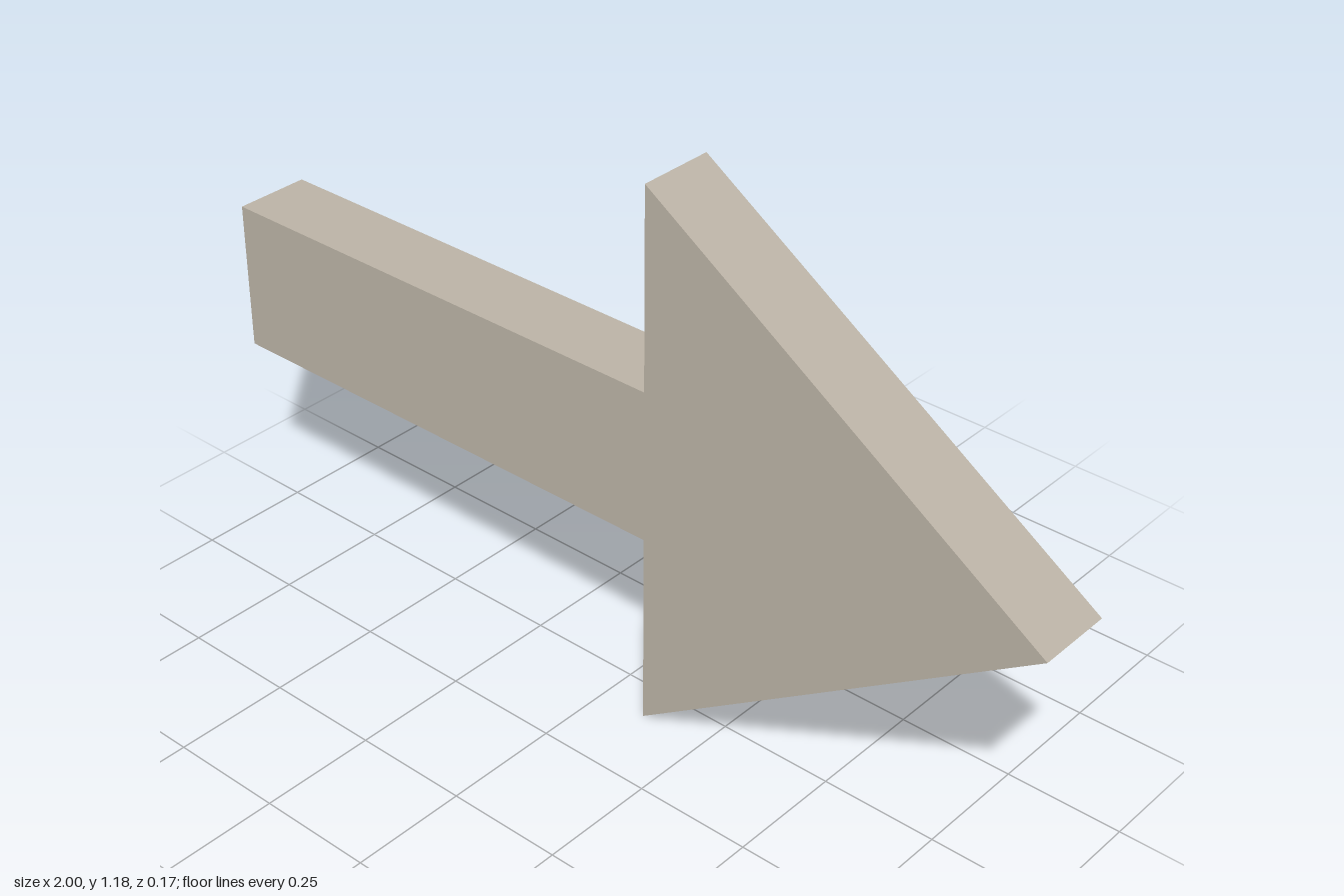
import * as THREE from 'three';

export function createModel() {
  const model = new THREE.Group();
  model.name = 'arrow';

  const stone = new THREE.MeshStandardMaterial({ color: 0xbab2a5 });
  stone.name = 'warm grey';

  const midY = 0.589;      // height of the arrow's axis
  const depth = 0.166;     // thickness along z
  const neckX = 0.107;     // where the shaft meets the head
  const shaftHalf = 0.164; // half height of the shaft

  // Outline of shaft and head, counter-clockwise around the axis
  const outline = new THREE.Shape([
    [-1, -shaftHalf],
    [neckX, -shaftHalf],
    [neckX, -midY],
    [1, 0],
    [neckX, midY],
    [neckX, shaftHalf],
    [-1, shaftHalf],
  ].map(([x, y]) => new THREE.Vector2(x, y)));

  // Flat arrow slab, centred on z
  const geometry = new THREE.ExtrudeGeometry(outline, { depth, bevelEnabled: false });
  geometry.translate(0, midY, -depth / 2);

  const arrow = new THREE.Mesh(geometry, stone);
  arrow.name = 'arrowBody';
  model.add(arrow);
  return model;
}
